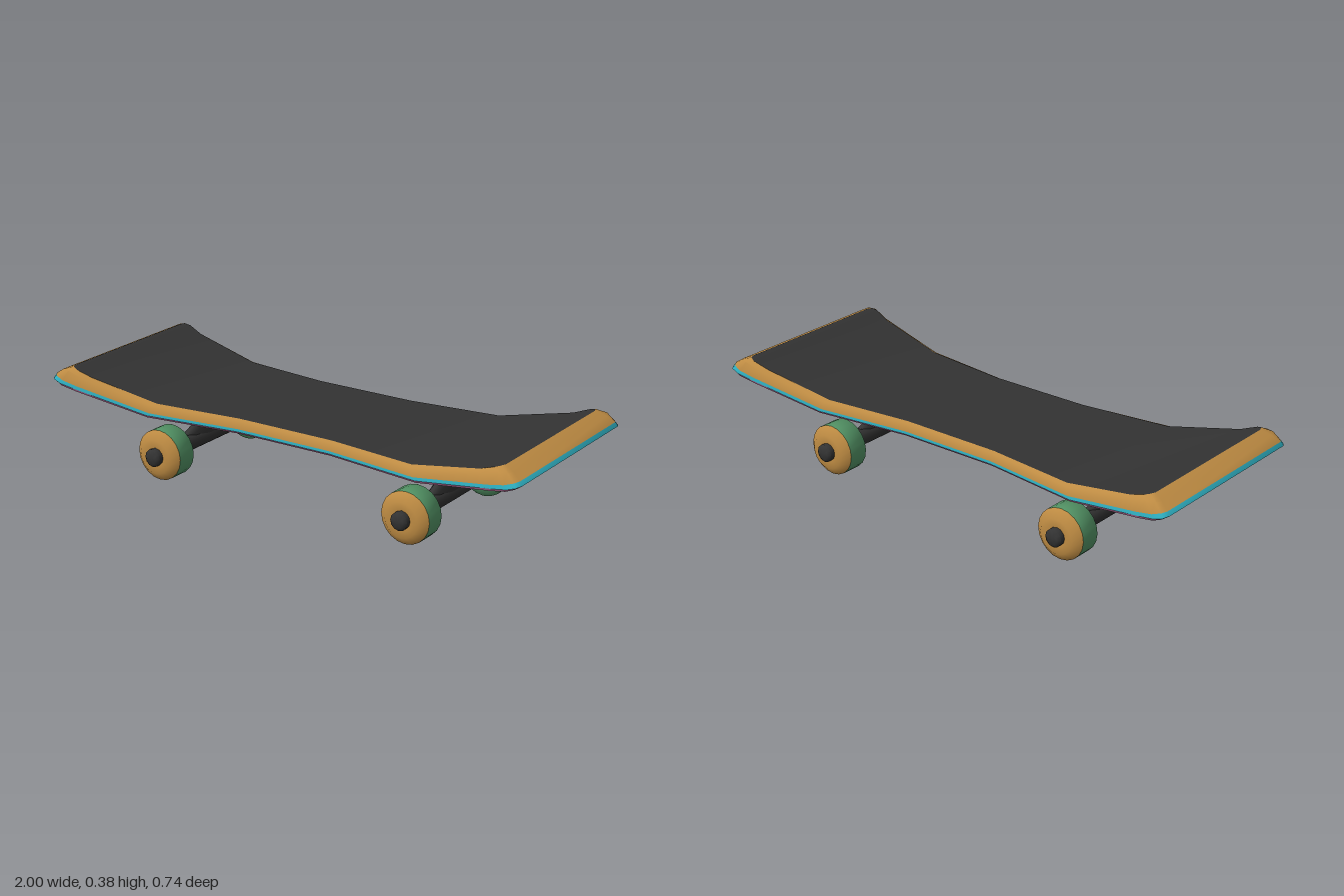
import * as THREE from 'three';
import { toCreasedNormals } from 'three/addons/utils/BufferGeometryUtils.js';

const mat = (name, color) => {
  const m = new THREE.MeshStandardMaterial({ color });
  m.name = name;
  return m;
};

// Skins closed rings listed from top to bottom, each anticlockwise seen from above.
// Caps join points j and n-1-j straight across the ring.
function loft(rings, capTop, capBottom, crease = 0.75) {
  const n = rings[0].length, index = [];
  for (let i = 0; i < rings.length - 1; i++) {
    for (let j = 0; j < n; j++) {
      const a = i * n + j, b = i * n + (j + 1) % n;
      index.push(a, a + n, b, b, a + n, b + n);
    }
  }
  const last = (rings.length - 1) * n;
  for (let j = 0; j < n / 2 - 1; j++) {
    const k = n - 1 - j;
    if (capTop) index.push(j, j + 1, k - 1, j, k - 1, k);
    if (capBottom) index.push(last + j, last + k - 1, last + j + 1, last + j, last + k, last + k - 1);
  }
  const g = new THREE.BufferGeometry();
  g.setAttribute('position', new THREE.Float32BufferAttribute(rings.flat(2), 3));
  g.setIndex(index);
  return toCreasedNormals(g, crease);
}

// Mirrors a quarter outline of the deck into a full ring
function deckRing(quarter) {
  const rev = [...quarter].reverse();
  return [
    ...rev.map(([x, y, z]) => [-x, y, z]),
    ...quarter,
    ...rev.map(([x, y, z]) => [x, y, -z]),
    ...quarter.map(([x, y, z]) => [-x, y, -z]),
  ];
}

// Elliptical ring: height, centre x, half sizes in x and z
function ellipse([y, cx, rx, rz], n = 12) {
  return Array.from({ length: n }, (_, i) => {
    const t = (i + 0.5) / n * Math.PI * 2;
    return [cx + Math.cos(t) * rx, y, -Math.sin(t) * rz];
  });
}

// Turned part whose profile is [radius, z]
function turned(points, sides) {
  const g = new THREE.LatheGeometry(points.map(p => new THREE.Vector2(...p)), sides);
  return toCreasedNormals(g.rotateX(Math.PI / 2), 1);
}

export function createModel() {
  const wood = mat('wood', 0xbf8c43);
  const dark = mat('dark grey', 0x333333);
  const teal = mat('teal', 0x2fb0c2);
  const purple = mat('purple', 0xb86c98);
  const green = mat('green', 0x579a6a);

  const model = new THREE.Group();
  model.name = 'skateboard';
  const add = (parent, name, geometry, material) => {
    const m = new THREE.Mesh(geometry, material);
    m.name = name;
    parent.add(m);
    return m;
  };

  // Deck outlines from the grip edge down to the underside
  const grip = deckRing([[.2, .295, .257], [.55, .295, .297], [.83, .352, .331],
    [.893, .375, .343], [.914, .382, .335], [.922, .382, .315]]);
  const shoulder = deckRing([[.2, .289, .268], [.56, .289, .313], [.85, .346, .35],
    [.92, .37, .36], [.95, .37, .354], [.96, .366, .33]]);
  const tealTop = deckRing([[.2, .26, .273], [.57, .26, .32], [.88, .316, .361],
    [.945, .331, .369], [.978, .342, .362], [.99, .346, .342]]);
  const tealLow = deckRing([[.2, .25, .274], [.58, .25, .323], [.89, .305, .364],
    [.955, .318, .372], [.988, .328, .367], [1, .332, .345]]);
  const under = deckRing([[.2, .242, .268], [.58, .242, .318], [.89, .296, .36],
    [.95, .309, .367], [.98, .32, .361], [.99, .324, .34]]);

  const deck = new THREE.Group();
  deck.name = 'deck';
  model.add(deck);
  add(deck, 'gripTop', loft([grip], true, false), dark);
  add(deck, 'woodEdge', loft([grip, shoulder, tealTop], false, false, 1.2), wood);
  add(deck, 'tealPly', loft([tealTop, tealLow], false, false, 1.2), teal);
  add(deck, 'underside', loft([tealLow, under], false, true), purple);

  // Shared wheel and truck shapes
  const tyreGeo = turned([[0, .2], [.065, .2], [.097, .228], [.097, .308]], 20);
  const hubGeo = turned([[.097, .308], [.066, .335], [.034, .33], [0, .33]], 20);
  const nutGeo = turned([[.034, .325], [.034, .349], [.022, .358], [0, .358]], 12);
  const axleGeo = new THREE.CylinderGeometry(.034, .034, .42, 16).rotateX(Math.PI / 2);
  const hangerGeo = loft([[.206, 0, .014, .045], [.17, 0, .024, .083],
    [.134, 0, .03, .165], [.1, 0, .032, .175]].map(s => ellipse(s)), true, true, 1.2);
  const prongGeo = loft([[.25, .036, .016, .024], [.235, .031, .016, .032],
    [.2, .012, .013, .056], [.165, .006, .014, .08]].map(s => ellipse(s)), true, true, 1.2);

  // Trucks at both ends
  for (const side of [-1, 1]) {
    const truck = new THREE.Group();
    truck.name = side > 0 ? 'leftTruck' : 'rightTruck';
    truck.position.x = side * 0.535;
    model.add(truck);
    add(truck, 'axle', axleGeo, dark).position.y = 0.1;
    add(truck, 'hanger', hangerGeo, dark);
    add(truck, 'mountProng', prongGeo, dark);
    add(truck, 'mountProng', prongGeo, dark).rotation.y = Math.PI;

    // Wheels on both ends of the axle
    for (const turn of [0, Math.PI]) {
      const wheel = new THREE.Group();
      wheel.name = turn ? 'backWheel' : 'frontWheel';
      wheel.position.y = 0.1;
      wheel.rotation.y = turn;
      truck.add(wheel);
      add(wheel, 'tyre', tyreGeo, green);
      add(wheel, 'wheelFace', hubGeo, wood);
      add(wheel, 'axleNut', nutGeo, dark);
    }
  }
  return model;
}
